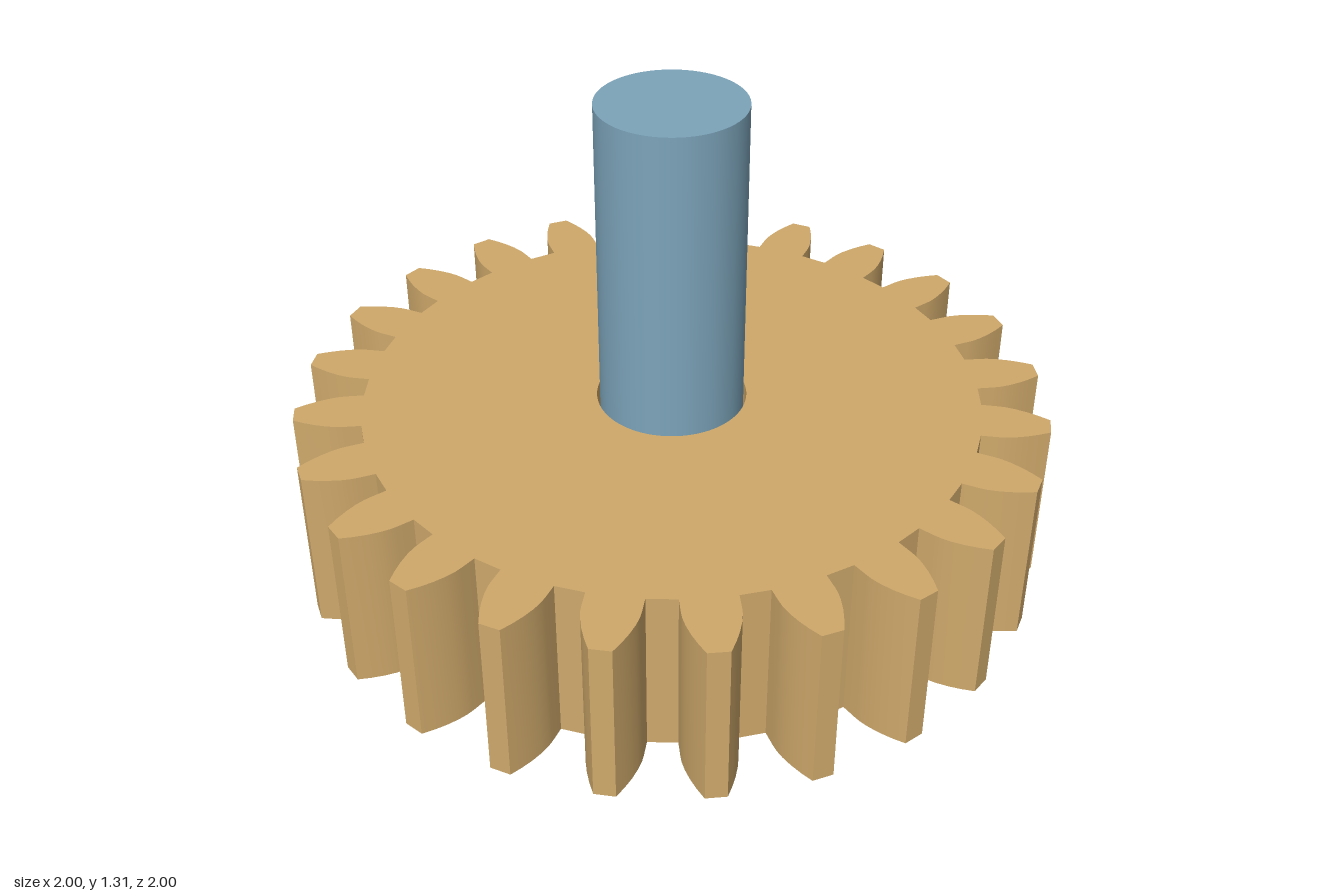
import * as THREE from 'three';
import { toCreasedNormals } from 'three/addons/utils/BufferGeometryUtils.js';

const TEETH = 24, TIP = 1, ROOT = 0.823, BASE = 0.867, THICKNESS = 0.46;

const gearMaterial = new THREE.MeshStandardMaterial({ color: 0xcfa96b });
gearMaterial.name = 'tan';
const shaftMaterial = new THREE.MeshStandardMaterial({ color: 0x7ca4ba });
shaftMaterial.name = 'steelBlue';

// Half the angle a tooth spans at radius r: involute flank above the base circle
function halfAngle(r) {
  if (r <= BASE) return 0.0803 + (BASE - r) * 0.1;
  const a = Math.acos(BASE / r);
  return 0.0803 - (Math.tan(a) - a);
}

function gearShape() {
  const radii = [ROOT, BASE, 0.885, 0.91, 0.94, 0.97, TIP];
  const points = [];
  const add = (r, a) => points.push(new THREE.Vector2(r * Math.cos(a), r * Math.sin(a)));
  for (let i = 0; i < TEETH; i++) {
    const mid = (i / TEETH) * Math.PI * 2;
    radii.forEach((r) => add(r, mid - halfAngle(r)));
    [...radii].reverse().forEach((r) => add(r, mid + halfAngle(r)));
  }
  const shape = new THREE.Shape(points);
  shape.holes.push(new THREE.Path().absarc(0, 0, 0.2, 0, Math.PI * 2, true));
  return shape;
}

export function createModel() {
  const model = new THREE.Group();
  model.name = 'gearOnShaft';

  // Toothed wheel with a round bore
  let wheel = new THREE.ExtrudeGeometry(gearShape(), {
    depth: THICKNESS, bevelEnabled: false, curveSegments: 64,
  });
  wheel.rotateX(-Math.PI / 2);
  wheel = toCreasedNormals(wheel, 0.35);
  const gear = new THREE.Mesh(wheel, gearMaterial);
  gear.name = 'gear';
  model.add(gear);

  // Shaft pushed part of the way into the bore
  const bottom = 0.27, top = 1.31;
  const shaft = new THREE.Mesh(
    new THREE.CylinderGeometry(0.192, 0.192, top - bottom, 64), shaftMaterial);
  shaft.position.y = (top + bottom) / 2;
  shaft.name = 'shaft';
  model.add(shaft);

  return model;
}
